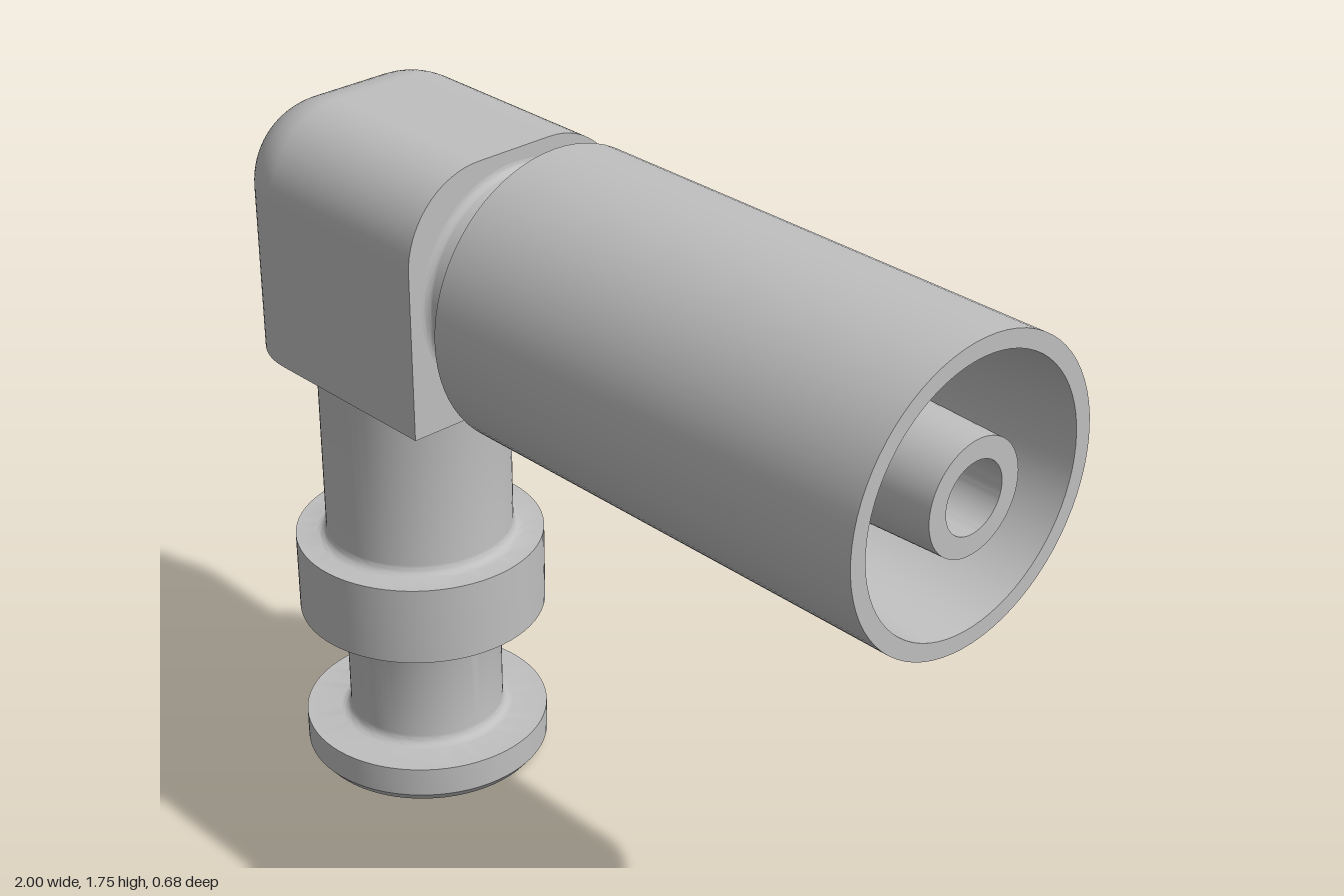
import * as THREE from 'three';
import { toCreasedNormals } from 'three/addons/utils/BufferGeometryUtils.js';

const AXIS_X = -0.7;   // centre of the upright stem
const AXIS_Y = 1.41;   // centre of the horizontal socket

// Quarter-round fillet between a flat shoulder and a shaft, listed in rising height.
// dir = 1: shoulder below the shaft; dir = -1: shoulder above it.
function fillet(shaftR, shoulderH, size, dir) {
  const pts = [];
  for (let i = 0; i <= 6; i++) {
    const a = (i / 6) * Math.PI / 2;
    pts.push([shaftR + size * (1 - Math.sin(a)), shoulderH + dir * size * (1 - Math.cos(a))]);
  }
  return dir > 0 ? pts : pts.reverse();
}

function turned(profile) {
  const lathe = new THREE.LatheGeometry(profile.map(([r, h]) => new THREE.Vector2(r, h)), 72);
  return toCreasedNormals(lathe, 0.5);
}

// Box rounded at its left end and along its top, square at the bottom and the right.
function elbowGeometry() {
  const radius = 0.2;
  const geo = new THREE.BoxGeometry(0.68, 0.6, 0.6, 34, 30, 30);
  geo.translate(-0.66, AXIS_Y, 0);
  const pos = geo.attributes.position, nor = geo.attributes.normal;
  const p = new THREE.Vector3(), core = new THREE.Vector3(), d = new THREE.Vector3();
  for (let i = 0; i < pos.count; i++) {
    p.fromBufferAttribute(pos, i);
    core.set(
      Math.max(p.x, -1 + radius),
      Math.min(p.y, 1.71 - radius),
      THREE.MathUtils.clamp(p.z, -0.3 + radius, 0.3 - radius));
    d.subVectors(p, core);
    const len = d.length();
    if (len < 1e-5) continue;
    const reach = Math.max(Math.abs(d.x), Math.abs(d.y), Math.abs(d.z));
    d.divideScalar(len);
    p.copy(core).addScaledVector(d, reach);
    pos.setXYZ(i, p.x, p.y, p.z);
    const squareFace = nor.getX(i) > 0.5 || nor.getY(i) < -0.5;
    if (!squareFace) nor.setXYZ(i, d.x, d.y, d.z);
  }
  return geo;
}

export function createModel() {
  const group = new THREE.Group();
  const grey = new THREE.MeshStandardMaterial({ color: 0xbfbfbf });
  grey.name = 'grey';

  const add = (name, geometry) => {
    const mesh = new THREE.Mesh(geometry, grey);
    mesh.name = name;
    group.add(mesh);
    return mesh;
  };

  add('elbowBody', elbowGeometry());

  // Upright stem: bore, chamfered foot flange, thin shaft, ring, thick shaft
  const stem = add('stem', turned([
    [0.115, 1.11], [0.115, 0], [0.28, 0], [0.3, 0.025], [0.3, 0.1],
    ...fillet(0.19, 0.1, 0.025, 1),
    ...fillet(0.19, 0.41, 0.015, -1),
    [0.3, 0.41], [0.3, 0.61],
    ...fillet(0.226, 0.61, 0.025, 1),
    ...fillet(0.226, 1.11, 0.025, -1),
  ]));
  stem.position.x = AXIS_X;

  // Horizontal socket: neck, collar with tapered recess, tapered hollow nozzle
  const socket = add('socketAndNozzle', turned([
    ...fillet(0.25, -0.32, 0.02, 1),
    [0.25, -0.19], [0.34, -0.19], [0.34, 1], [0.3, 1],
    [0.255, 0.5], [0.142, 0.5], [0.127, 1], [0.08, 1], [0.08, -0.32],
  ]));
  socket.rotation.z = -Math.PI / 2;
  socket.position.y = AXIS_Y;

  return group;
}
